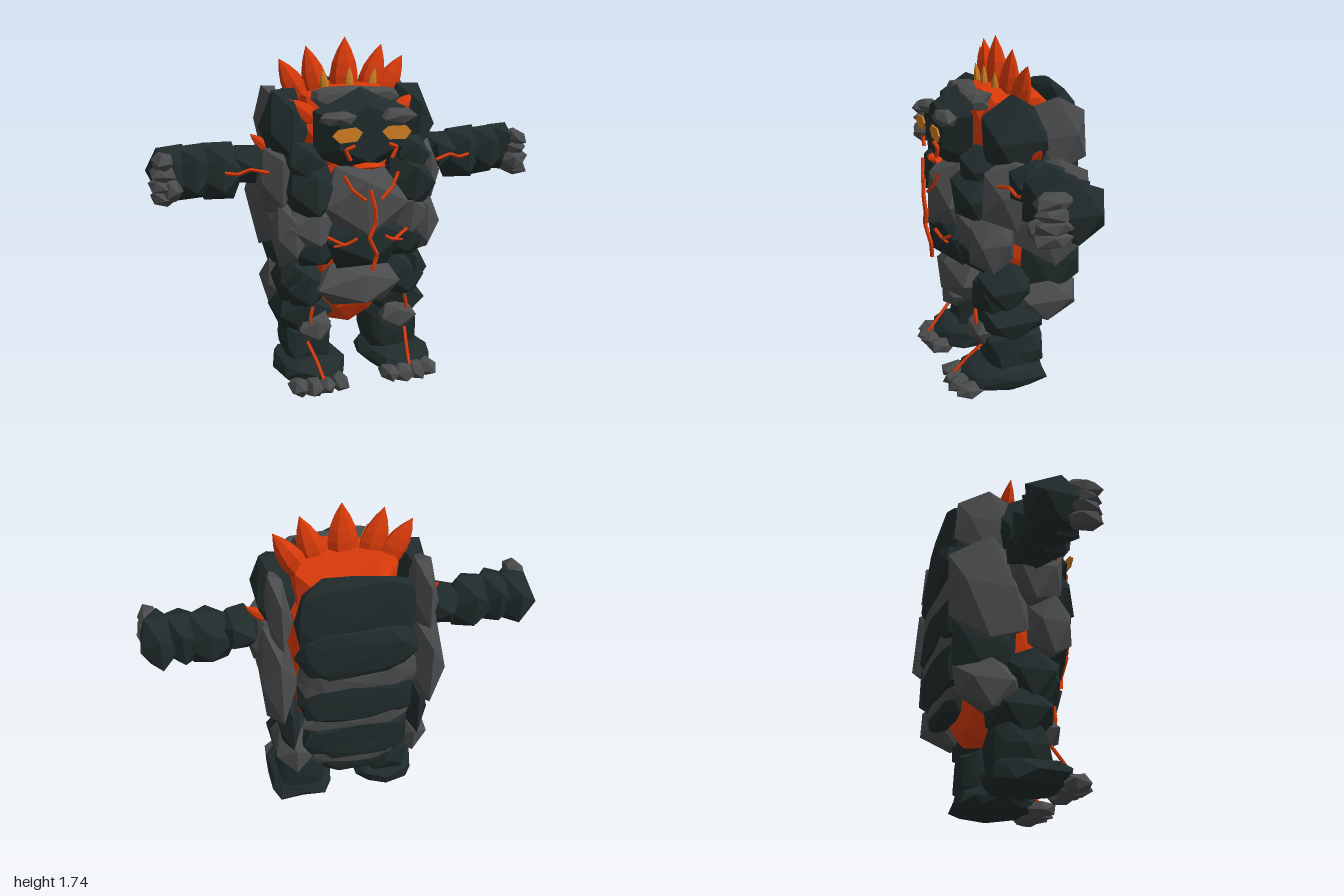
import * as THREE from 'three';

const paint = (name, color) => {
  const m = new THREE.MeshStandardMaterial({ color, flatShading: true });
  m.name = name;
  return m;
};

export function createModel() {
  const model = new THREE.Group();
  model.name = 'rockGolem';
  const dark = paint('darkBasalt', 0x202b2b);
  const grey = paint('greyStone', 0x4a4b4c);
  const lava = paint('lava', 0xd93a0a);
  const gold = paint('goldGlow', 0xcc7d22);

  const add = (name, geo, mat) => {
    const mesh = new THREE.Mesh(geo, mat);
    mesh.name = name;
    model.add(mesh);
    return mesh;
  };
  const hash = (a, b) => {
    const s = Math.sin(a * 127.1 + b * 311.7) * 43758.5453;
    return s - Math.floor(s);
  };
  let seed = 1;

  // Faceted stone fitted to the box [x0,x1, y0,y1, z0,z1].
  // Power 1 tumbles the stone at random; below 1 keeps it upright and makes it blockier.
  function rock(name, mat, b, detail = 0, power = 1) {
    const s = seed++;
    const geo = new THREE.IcosahedronGeometry(1, detail);
    if (power === 1) {
      geo.rotateX(hash(s, 1) * 6);
      geo.rotateZ(hash(s, 2) * 6);
    }
    const p = geo.attributes.position;
    const v = new THREE.Vector3();
    for (let i = 0; i < p.count; i++) {
      v.fromBufferAttribute(p, i);
      const key = Math.round(v.x * 50) + Math.round(v.y * 50) * 1.7 + Math.round(v.z * 50) * 2.9;
      const k = 1 + (hash(key, s) - 0.5) * 0.22;
      const f = (t) => Math.sign(t) * Math.abs(t) ** power * k;
      p.setXYZ(i, f(v.x), f(v.y), f(v.z));
    }
    geo.computeBoundingBox();
    const c = geo.boundingBox.getCenter(new THREE.Vector3());
    const d = geo.boundingBox.getSize(v);
    geo.translate(-c.x, -c.y, -c.z);
    geo.scale((b[1] - b[0]) / d.x, (b[3] - b[2]) / d.y, (b[5] - b[4]) / d.z);
    geo.translate((b[0] + b[1]) / 2, (b[2] + b[3]) / 2, (b[4] + b[5]) / 2);
    geo.computeVertexNormals();
    return add(name, geo, mat);
  }
  const pair = (name, mat, b, detail, power) => {
    rock(name + 'Left', mat, b, detail, power);
    rock(name + 'Right', mat, [-b[1], -b[0], ...b.slice(2)], detail, power);
  };

  // Glowing crack along points
  const crack = (name, pts, r = 0.009) => {
    const path = new THREE.CatmullRomCurve3(pts.map((q) => new THREE.Vector3(...q)), false, 'catmullrom', 0.2);
    add(name, new THREE.TubeGeometry(path, pts.length * 5, r, 5), lava);
  };
  const crackPair = (name, pts, r) => {
    for (const s of [1, -1]) crack(name, pts.map(([x, y, z]) => [x * s, y, z]), r);
  };

  // Leaf-shaped flame from base to tip, flattened front to back
  const flame = (name, mat, base, tip, r) => {
    const a = new THREE.Vector3(...base);
    const dir = new THREE.Vector3(...tip).sub(a);
    const prof = [[0, 0], [0.65, 0.06], [0.95, 0.2], [1, 0.4], [0.85, 0.6], [0.5, 0.8], [0, 1]]
      .map(([x, y]) => new THREE.Vector2(x * r, y * dir.length()));
    const m = add(name, new THREE.LatheGeometry(prof, 7), mat);
    m.scale.z = 0.7;
    m.position.copy(a);
    m.quaternion.setFromUnitVectors(new THREE.Vector3(0, 1, 0), dir.normalize());
  };

  // Molten core
  rock('moltenHead', lava, [-0.25, 0.25, 1.08, 1.53, -0.27, 0.21], 1, 0.65);
  rock('moltenTorso', lava, [-0.31, 0.31, 0.5, 1.35, -0.29, 0.17], 1, 0.7);
  rock('moltenPelvis', lava, [-0.23, 0.23, 0.285, 0.72, -0.3, 0.18], 1);

  // Face
  const face = new THREE.CylinderGeometry(0.15, 0.24, 0.12, 6);
  face.rotateX(Math.PI / 2);
  face.scale(1.16, 0.88, 1);
  face.translate(0, 1.315, 0.25);
  add('face', face, dark);
  rock('forehead', grey, [-0.23, 0.21, 1.42, 1.525, 0.05, 0.2], 1, 0.6);
  pair('brow', grey, [0.05, 0.25, 1.36, 1.43, 0.24, 0.345]);
  const eyeShape = new THREE.Shape([[-0.075, 0.005], [-0.045, 0.032], [0.045, 0.035], [0.075, 0.008], [0.045, -0.03], [-0.04, -0.03]].map((q) => new THREE.Vector2(...q)));
  for (const s of [1, -1]) {
    const eye = add('eye', new THREE.ExtrudeGeometry(eyeShape, { depth: 0.009, bevelEnabled: false }), gold);
    eye.position.set(s * 0.125, 1.32, 0.336);
    eye.rotation.z = -s * 0.05;
  }
  crackPair('cheekCrack', [[0.085, 1.27, 0.335], [0.13, 1.25, 0.33], [0.105, 1.2, 0.33]], 0.01);
  rock('mouth', lava, [-0.085, 0.085, 1.15, 1.18, 0.27, 0.345]);

  // Head side plates
  pair('templePlate', dark, [0.24, 0.43, 1.13, 1.515, -0.17, 0.18], 0, 0.95);
  pair('napePlate', grey, [0.29, 0.4, 1.15, 1.51, -0.345, 0.0], 0, 0.95);
  pair('collar', dark, [0.19, 0.37, 1.08, 1.28, 0.06, 0.27], 0, 0.95);

  // Chest and belly
  rock('chin', grey, [-0.215, 0.215, 0.76, 1.155, 0.08, 0.345], 0, 0.95);
  pair('chest', dark, [0.12, 0.385, 0.89, 1.19, 0.04, 0.31], 0, 0.95);
  pair('rib', grey, [0.1, 0.38, 0.74, 1.0, 0.04, 0.285], 0, 0.95);
  pair('bellySide', dark, [0.12, 0.35, 0.65, 0.84, 0.05, 0.265], 0, 0.95);
  rock('belly', dark, [-0.21, 0.21, 0.635, 0.97, 0.08, 0.335], 0, 0.95);
  rock('waist', grey, [-0.235, 0.235, 0.43, 0.65, 0.06, 0.29], 0, 0.95);
  pair('waistSide', dark, [0.16, 0.37, 0.41, 0.66, 0.0, 0.21], 0, 0.95);

  // Flanks
  pair('shoulder', grey, [0.3, 0.48, 0.9, 1.24, -0.1, 0.2], 0, 0.95);
  pair('flankFront', grey, [0.27, 0.43, 0.66, 0.98, 0.02, 0.25], 0, 0.95);
  pair('flankBack', grey, [0.28, 0.45, 0.69, 1.23, -0.375, 0.03], 0, 0.95);
  pair('lowFlank', dark, [0.26, 0.38, 0.52, 0.88, -0.34, -0.02], 0, 0.95);
  pair('hipFront', dark, [0.22, 0.4, 0.44, 0.69, -0.1, 0.2], 0, 0.95);
  pair('hipBack', grey, [0.2, 0.4, 0.37, 0.61, -0.33, 0.01], 0, 0.95);

  // Overlapping back plates, top to bottom
  [[1.1, 1.53, 0.29, -0.36, dark], [0.98, 1.29, 0.3, -0.385, dark], [0.86, 1.1, 0.29, -0.37, grey],
    [0.72, 1.0, 0.29, -0.375, dark], [0.62, 0.82, 0.28, -0.36, grey], [0.48, 0.74, 0.27, -0.36, dark],
    [0.42, 0.58, 0.23, -0.345, grey], [0.37, 0.52, 0.2, -0.335, dark],
  ].forEach(([y0, y1, w, z, mat], i) => {
    rock('backPlate' + (i + 1), mat, [-w, w, y0, y1, z, -0.23], 1, 0.65);
  });

  // Arms and fists
  pair('upperArm', dark, [0.4, 0.63, 1.05, 1.25, -0.14, 0.1]);
  pair('elbow', dark, [0.53, 0.78, 0.985, 1.27, -0.15, 0.11], 0, 0.95);
  pair('forearm', dark, [0.68, 0.9, 1.0, 1.27, -0.15, 0.12], 0, 0.95);
  pair('wrist', dark, [0.79, 0.985, 1.01, 1.27, -0.17, 0.12], 0, 0.95);
  for (let i = 0; i < 4; i++) {
    const y = 1.005 + i * 0.054;
    pair('finger' + (i + 1), grey, [0.88, 1 - 0.008 * Math.abs(i - 1), y, y + 0.085, -0.01, 0.17]);
  }
  pair('thumb', grey, [0.85, 0.95, 1.03, 1.14, 0.05, 0.18]);

  // Legs and feet
  pair('thigh', dark, [0.12, 0.4, 0.26, 0.53, -0.17, 0.185], 0, 0.9);
  pair('shin', dark, [0.1, 0.375, 0.08, 0.36, -0.16, 0.15], 1, 0.6);
  pair('knee', grey, [0.13, 0.32, 0.25, 0.4, 0.08, 0.215], 0, 0.95);
  pair('foot', dark, [0.06, 0.415, 0.02, 0.16, -0.16, 0.27], 1, 0.65);
  for (let i = 0; i < 4; i++) {
    const x = 0.09 + i * 0.07;
    const z = 0.33 + (i === 1 || i === 2 ? 0.02 : 0);
    pair('toe' + (i + 1), grey, [x, x + 0.1, 0.01, 0.1, 0.18, z]);
  }

  // Flame crest
  flame('crestCentre', lava, [0, 1.44, -0.02], [0, 1.75, -0.01], 0.075);
  for (const s of [1, -1]) {
    flame('crestInner', lava, [s * 0.115, 1.42, -0.025], [s * 0.2, 1.71, -0.02], 0.068);
    flame('crestOuter', lava, [s * 0.195, 1.42, -0.045], [s * 0.33, 1.65, -0.045], 0.062);
    flame('crestGlow', gold, [s * 0.115, 1.47, 0.04], [s * 0.14, 1.6, 0.045], 0.024);
    flame('templeFlame', lava, [s * 0.2, 1.36, 0.12], [s * 0.33, 1.47, 0.1], 0.045);
    flame('shoulderFlame', lava, [s * 0.38, 1.2, -0.05], [s * 0.48, 1.29, -0.06], 0.028);
  }
  flame('crestGlow', gold, [0, 1.48, 0.05], [0, 1.61, 0.05], 0.024);

  // Lava cracks
  crack('chestCrack', [[-0.02, 1.06, 0.36], [0, 0.98, 0.37], [0.01, 0.9, 0.365], [-0.02, 0.82, 0.36], [0.025, 0.73, 0.345], [0.005, 0.65, 0.335]], 0.011);
  crackPair('chestBranch', [[0.14, 1.13, 0.33], [0.1, 1.06, 0.345], [0.04, 1.01, 0.36]]);
  crackPair('bellyCrack', [[0.07, 0.82, 0.335], [0.13, 0.79, 0.315], [0.21, 0.83, 0.29]]);
  crackPair('bellyFork', [[0.13, 0.79, 0.315], [0.18, 0.78, 0.3]], 0.007);
  crackPair('armCrack', [[0.44, 1.13, 0.14], [0.53, 1.15, 0.12], [0.59, 1.13, 0.11], [0.65, 1.14, 0.105]]);
  crackPair('thighCrack', [[0.25, 0.45, 0.19], [0.265, 0.38, 0.19], [0.25, 0.31, 0.18]]);
  crackPair('shinCrack', [[0.27, 0.25, 0.16], [0.25, 0.18, 0.23], [0.235, 0.1, 0.3]]);

  return model;
}
